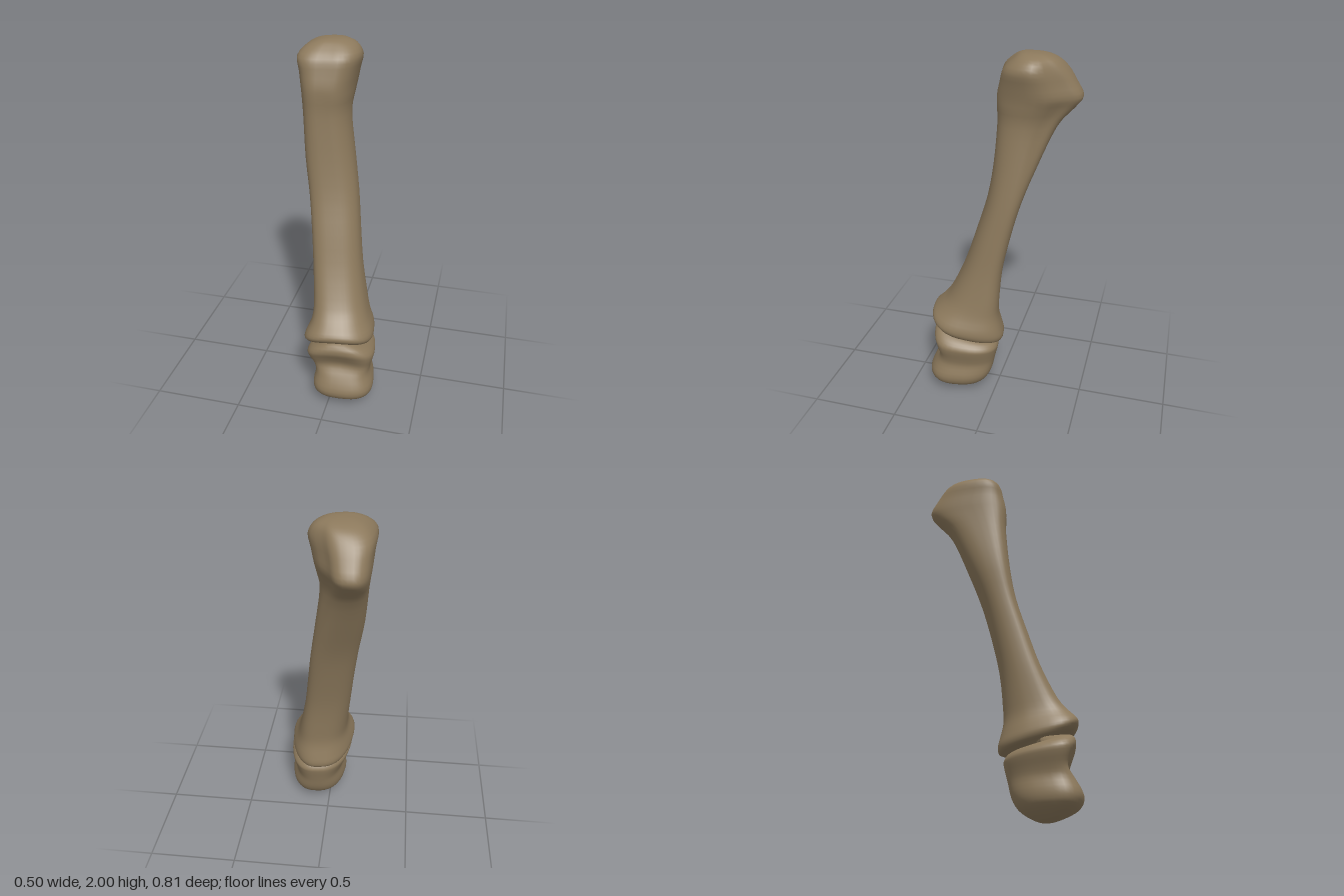
import * as THREE from 'three';

const bone = new THREE.MeshStandardMaterial({ color: 0x8c795c });
bone.name = 'bone';

// Uniform Catmull-Rom blend of four numbers
function blend(a, b, c, d, t) {
  return 0.5 * (2 * b + (c - a) * t + (2 * a - 5 * b + 4 * c - d) * t * t + (3 * b - a - 3 * c + d) * t * t * t);
}

// Smooth a list of rows by inserting interpolated ones
function refine(rows, steps) {
  const out = [];
  const at = i => rows[Math.min(Math.max(i, 0), rows.length - 1)];
  for (let i = 0; i < rows.length - 1; i++) {
    for (let s = 0; s < steps; s++) {
      out.push(rows[i].map((v, k) => blend(at(i - 1)[k], v, at(i + 1)[k], at(i + 2)[k], s / steps)));
    }
  }
  out.push(rows[rows.length - 1]);
  return out;
}

// Loft of rounded-box sections, top to bottom.
// Row: y, xMin, xMax, zMin, zMax, then shape values used by the callback
function loft(name, rows, power, shape) {
  const sides = 40, pos = [], index = [];
  const fine = refine(rows, 3);
  const soft = v => Math.sign(v) * Math.pow(Math.abs(v), 2 / power);
  fine.forEach(row => {
    const [y, x0, x1, z0, z1] = row;
    for (let j = 0; j < sides; j++) {
      const a = (j / sides) * Math.PI * 2;
      const u = soft(Math.cos(a)), w = soft(Math.sin(a));
      const p = new THREE.Vector3((x0 + x1) / 2 + u * (x1 - x0) / 2, y, (z0 + z1) / 2 + w * (z1 - z0) / 2);
      shape(p, u, w, row);
      pos.push(p.x, p.y, p.z);
    }
  });
  for (let i = 0; i < fine.length - 1; i++) {
    for (let j = 0; j < sides; j++) {
      const a = i * sides + j, b = i * sides + (j + 1) % sides;
      index.push(a, b, a + sides, b, b + sides, a + sides);
    }
  }
  const g = new THREE.BufferGeometry();
  g.setAttribute('position', new THREE.Float32BufferAttribute(pos, 3));
  g.setIndex(index);
  g.computeVertexNormals();
  const mesh = new THREE.Mesh(g, bone);
  mesh.name = name;
  return mesh;
}

export function createModel() {
  const model = new THREE.Group();
  model.name = 'limbBones';

  // Long bone; last two values: fin at the back of the head, joint warp
  const head = [
    [2.0, -0.07, -0.07, -0.14, -0.14, 0, 0],
    [1.995, -0.14, -0.01, -0.21, -0.09, 0.2, 0],
    [1.97, -0.205, 0.045, -0.275, -0.05, 0.6, 0],
    [1.92, -0.25, 0.075, -0.325, 0, 0.9, 0],
    [1.85, -0.242, 0.06, -0.37, 0.02, 1, 0],
    [1.78, -0.235, 0.045, -0.405, 0.036, 1, 0],
    [1.72, -0.227, 0.035, -0.365, 0.038, 1, 0],
    [1.62, -0.217, 0.025, -0.28, 0.038, 0.6, 0],
  ];
  const shaft = [
    [1.4, -0.2, 0.055, -0.185, 0.055, 0.2, 0],
    [1.2, -0.17, 0.085, -0.11, 0.085, 0, 0],
    [1.0, -0.145, 0.11, -0.058, 0.143, 0, 0],
    [0.8, -0.125, 0.135, -0.018, 0.208, 0, 0],
    [0.62, -0.108, 0.17, -0.005, 0.288, 0, 0.1],
    [0.53, -0.108, 0.195, -0.005, 0.345, 0, 0.4],
    [0.46, -0.13, 0.225, -0.025, 0.39, 0, 0.8],
    [0.415, -0.136, 0.225, -0.035, 0.39, 0, 1],
    [0.385, -0.11, 0.195, -0.015, 0.35, 0, 1],
    [0.395, -0.03, 0.12, 0.08, 0.25, 0, 1],
    [0.395, 0.045, 0.045, 0.165, 0.165, 0, 1],
  ];
  model.add(loft('longBone', [...head, ...shaft], 2.6, (p, u, w, [, x0, x1, , , fin, warp]) => {
    const mid = (x0 + x1) / 2, size = (x1 - x0) / 0.3;
    const back = fin * THREE.MathUtils.smoothstep(-w, 0, 0.75);
    // The head narrows to the back, the joint widens to the front
    p.x = mid + (p.x - mid) * (1 - 0.25 * back + 0.18 * warp * w) - 0.037 * back;
    // Sections lean forward on the right side
    const lean = u > 0 ? 0.035 - 0.03 * fin : 0.035 + 0.015 * fin;
    p.z -= size * u * (lean - 0.012 * warp) * (1 - back);
    p.y += warp * (0.033 * w + 0.03 * (1 - u * u) * Math.max(0, w));
  }));

  // Short bone; last two values: joint warp, dent in the front
  const short = [
    [0.385, 0.055, 0.055, 0.19, 0.19, 1, 0],
    [0.385, -0.02, 0.14, 0.09, 0.28, 1, 0],
    [0.37, -0.09, 0.20, 0.02, 0.36, 1, 0],
    [0.335, -0.12, 0.238, -0.005, 0.395, 0.8, 0.02],
    [0.3, -0.113, 0.238, -0.005, 0.398, 0.5, 0.05],
    [0.25, -0.09, 0.225, 0.005, 0.385, 0.3, 0.06],
    [0.2, -0.077, 0.22, 0.015, 0.385, 0.1, 0.02],
    [0.13, -0.088, 0.243, 0.03, 0.403, 0, 0],
    [0.075, -0.075, 0.23, 0.06, 0.385, 0, 0],
    [0.035, -0.02, 0.18, 0.11, 0.32, 0, 0],
    [0.012, 0.04, 0.15, 0.16, 0.25, 0, 0],
    [0.003, 0.1, 0.1, 0.2, 0.2, 0, 0],
  ];
  model.add(loft('shortBone', short, 2.6, (p, u, w, [, x0, x1, , , warp, dent]) => {
    const front = Math.max(0, w), mid = (x0 + x1) / 2, size = (x1 - x0) / 0.3;
    p.x = mid + (p.x - mid) * (1 + 0.18 * w);
    p.z -= front * dent * (1 - u * u) + size * u * (0.01 + 0.012 * warp);
    p.y += warp * (0.027 * w + 0.03 * (1 - u * u) * front);
  }));
  return model;
}
